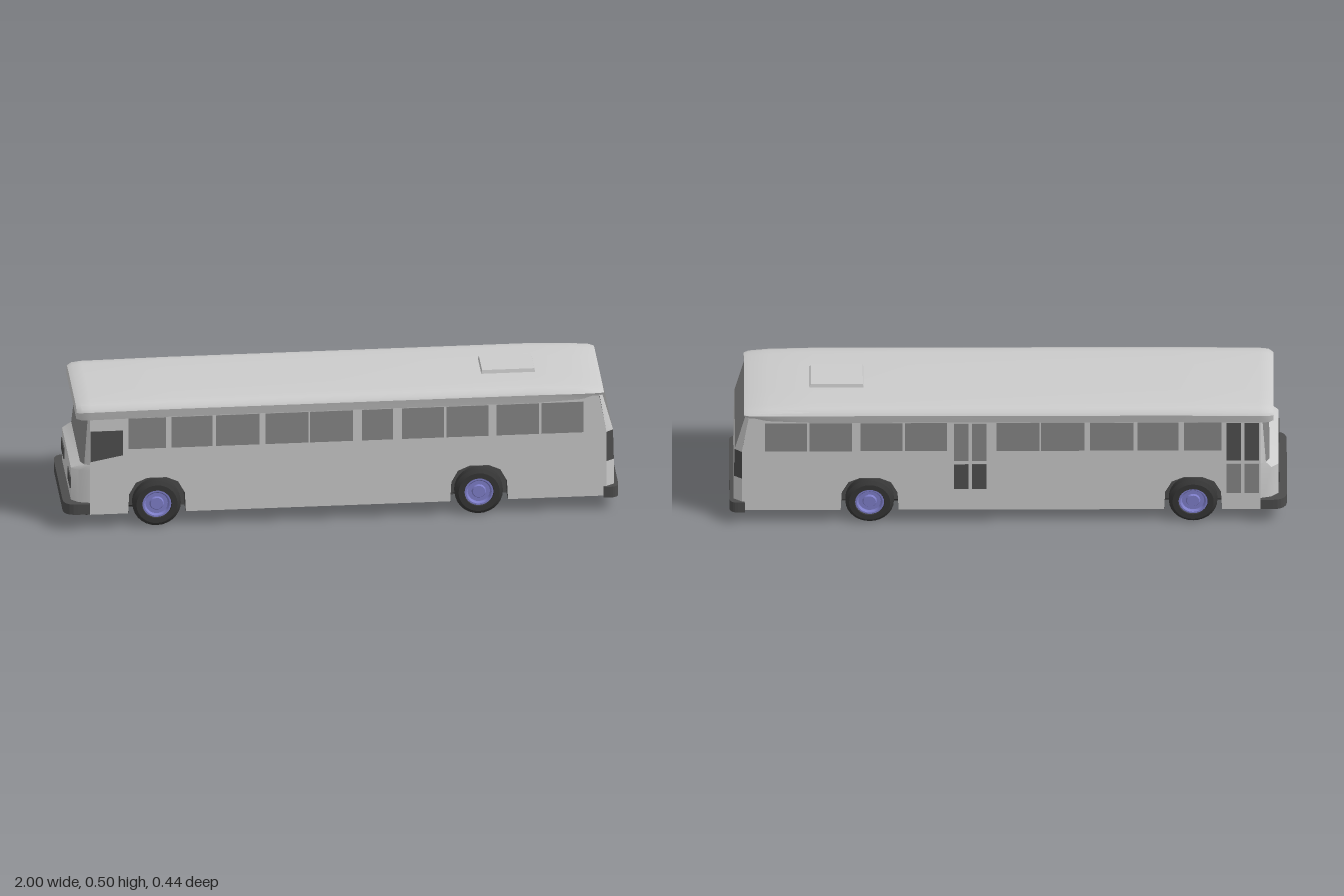
import * as THREE from 'three';
import { toCreasedNormals } from 'three/addons/utils/BufferGeometryUtils.js';

const mat = (color) => new THREE.MeshStandardMaterial({ color, side: THREE.DoubleSide });
const body = mat(0xcccccc), glass = mat(0x888888), darkGlass = mat(0x505050);
const dark = mat(0x4c4c4c), rubber = mat(0x363636), black = mat(0x262626), blue = mat(0x8080cc);

const SIDE = 0.21, WELL = 0.15, FLOOR = 0.055;
const AXLES = [-0.663, 0.497];
const ARCH = [[-0.104, FLOOR], [-0.1, 0.13], [-0.076, 0.174], [-0.035, 0.192],
  [0.035, 0.192], [0.076, 0.174], [0.1, 0.13], [0.104, FLOOR]];

export function createModel() {
  const bus = new THREE.Group();
  bus.name = 'bus';

  const add = (name, geometry, material, parent = bus) => {
    const mesh = new THREE.Mesh(geometry, material);
    mesh.name = name;
    parent.add(mesh);
    return mesh;
  };
  const box = (name, x0, x1, y0, y1, z0, z1, material) =>
    add(name, new THREE.BoxGeometry(x1 - x0, y1 - y0, z1 - z0), material)
      .position.set((x0 + x1) / 2, (y0 + y1) / 2, (z0 + z1) / 2);
  const shapeOf = (points) => new THREE.Shape(points.map(([x, y]) => new THREE.Vector2(x, y)));

  // Skin a surface over rows of [x, y, z] points
  const skin = (rows, crease = 0.6) => {
    const n = rows[0].length, index = [];
    for (let i = 0; i < rows.length - 1; i++) {
      for (let j = 0; j < n - 1; j++) {
        const a = i * n + j, b = a + n;
        index.push(a, b, a + 1, b, b + 1, a + 1);
      }
    }
    const g = new THREE.BufferGeometry();
    g.setAttribute('position', new THREE.Float32BufferAttribute(rows.flat(2), 3));
    g.setIndex(index);
    return toCreasedNormals(g, crease);
  };

  // Side walls with wheel arch cutouts, and the wells behind them
  const outline = [[-0.905, FLOOR]];
  for (const ax of AXLES) outline.push(...ARCH.map(([x, y]) => [ax + x, y]));
  outline.push([0.955, FLOOR], [0.955, 0.31], [0.93, 0.45], [-0.905, 0.44]);
  for (const s of [1, -1]) {
    add('sideWall', new THREE.ShapeGeometry(shapeOf(outline)), body).position.z = s * SIDE;
    for (const ax of AXLES) {
      const rim = (z) => ARCH.map(([x, y]) => [ax + x, y, s * z]);
      add('wheelWell', skin([rim(SIDE + 0.003), rim(WELL)]), dark);
      const back = add('wheelWellBack', new THREE.ShapeGeometry(shapeOf(ARCH)), dark);
      back.position.set(ax, 0, s * WELL);
    }
  }

  // Floor, left open under the wheel wells
  box('floor', -0.95, 0.97, FLOOR, FLOOR + 0.006, -WELL, WELL, black);
  for (const [x0, x1] of [[-0.92, AXLES[0] - 0.104], [AXLES[0] + 0.104, AXLES[1] - 0.104], [AXLES[1] + 0.104, 0.955]]) {
    box('floorEdge', x0, x1, FLOOR, FLOOR + 0.006, WELL, SIDE - 0.001, black);
    box('floorEdge', x0, x1, FLOOR, FLOOR + 0.006, 0.001 - SIDE, -WELL, black);
  }

  // Front: rounded lower nose, ledge and windshield
  const frontRow = (y, x) => [[-0.905, SIDE], [x + (-0.905 - x) * 0.4, 0.2], [x, 0.175],
    [x, -0.175], [x + (-0.905 - x) * 0.4, -0.2], [-0.905, -SIDE]].map(([px, z]) => [px, y, z]);
  add('nose', skin([frontRow(0.06, -0.97), frontRow(0.228, -0.97), frontRow(0.25, -0.937)]), body);
  const screen = [frontRow(0.25, -0.937), frontRow(0.44, -0.915)];
  add('windshield', skin(screen.map((r) => r.slice(1, 5))), glass);
  add('leftPillar', skin(screen.map((r) => r.slice(0, 2))), body);
  add('rightPillar', skin(screen.map((r) => r.slice(4))), body);
  for (const s of [1, -1]) {
    const z = s * 0.127;
    box('headlight', -0.974, -0.965, 0.148, 0.19, z - 0.048, z + 0.048, dark);
  }

  // Rear: chamfered corners, sloping window and corner lights
  const rearRow = (y, x, xs) => [[xs, y, SIDE], [x, y, 0.19], [x, y, -0.19], [xs, y, -SIDE]];
  const rear = [rearRow(FLOOR, 0.985, 0.955), rearRow(0.19, 0.984, 0.955), rearRow(0.305, 0.981, 0.955),
    rearRow(0.31, 0.98, 0.955), rearRow(0.455, 0.94, 0.93)];
  add('rearPanel', skin(rear.slice(0, 4).map((r) => r.slice(1, 3))), body);
  add('rearWindow', skin(rear.slice(3).map((r) => r.slice(1, 3))), glass);
  for (const k of [0, 2]) {
    for (let i = 0; i < 4; i++) {
      const light = i === 1;
      add(light ? 'tailLight' : 'rearCorner', skin([rear[i], rear[i + 1]].map((r) => r.slice(k, k + 2))),
        light ? dark : body);
    }
  }

  // Roof shell lofted along x: [x, width scale, bottom, top]
  const half = [[0.211, 0], [0.218, 0.58], [0.212, 0.76], [0.195, 0.92], [0.165, 0.98], [0.08, 1]];
  const section = [...half, ...half.map(([z, t]) => [-z, t]).reverse(), half[0]];
  const stations = [[-0.952, 0.93, 0.428, 0.428], [-0.952, 0.93, 0.428, 0.472], [-0.935, 0.985, 0.427, 0.48],
    [-0.9, 1, 0.427, 0.483], [-0.6, 1, 0.43, 0.486], [0.7, 1, 0.43, 0.487], [0.86, 1, 0.438, 0.479],
    [0.93, 0.98, 0.448, 0.47], [0.947, 0.94, 0.45, 0.465], [0.947, 0.94, 0.45, 0.45]];
  add('roof', skin(stations.map(([x, w, lo, hi]) =>
    section.map(([z, t]) => [x, lo + (hi - lo) * t, z * w]))), body);

  // Tapered roof hatch
  const hatch = new THREE.BoxGeometry(0.2, 0.025, 0.138);
  const p = hatch.attributes.position;
  for (let i = 0; i < p.count; i++) {
    if (p.getY(i) > 0) p.setXYZ(i, p.getX(i) * 0.94, p.getY(i), p.getZ(i) * 0.92);
  }
  hatch.computeVertexNormals();
  add('roofHatch', hatch, body).position.set(0.615, 0.4875, 0);

  // Side windows; a door replaces the short one on the right side
  const windows = [[-0.765, -0.63], [-0.61, -0.463], [-0.45, -0.294], [-0.273, -0.118], [-0.112, 0.043],
    [0.075, 0.187], [0.22, 0.37], [0.38, 0.53], [0.56, 0.712], [0.722, 0.872]];
  const pane = (name, x0, x1, y0, y1, s, m) =>
    box(name, x0, x1, y0, y1, s * SIDE - 0.0015, s * SIDE + 0.0015, m);
  windows.forEach(([x0, x1], i) => {
    pane('sideWindow', x0, x1, 0.308, 0.428, 1, glass);
    if (i !== 5) pane('sideWindow', x0, x1, 0.308, 0.428, -1, glass);
  });
  const driver = new THREE.ExtrudeGeometry(
    shapeOf([[-0.903, 0.262], [-0.786, 0.285], [-0.786, 0.382], [-0.903, 0.382]]),
    { depth: 0.003, bevelEnabled: false });
  add('driverWindow', driver, darkGlass).position.z = SIDE - 0.0015;

  // Two-leaf doors
  for (const [x0, low, upper, lower] of [[-0.9, 0.125, darkGlass, glass], [0.078, 0.145, glass, darkGlass]]) {
    for (const x of [x0, x0 + 0.065]) {
      pane('doorUpperGlass', x, x + 0.052, 0.265, 0.425, -1, upper);
      pane('doorLowerGlass', x, x + 0.052, low, 0.25, -1, lower);
    }
  }

  // Wraparound bumpers, drawn in plan with rounded outer corners
  const bumper = (name, inner, outer, w, r, y, h) => {
    const d = Math.sign(outer) * r, s = new THREE.Shape();
    s.moveTo(inner, -w);
    s.lineTo(outer - d, -w);
    s.quadraticCurveTo(outer, -w, outer, r - w);
    s.lineTo(outer, w - r);
    s.quadraticCurveTo(outer, w, outer - d, w);
    s.lineTo(inner, w);
    const g = new THREE.ExtrudeGeometry(s, { depth: h, bevelEnabled: false, curveSegments: 6 });
    add(name, g.rotateX(-Math.PI / 2), dark).position.y = y;
  };
  bumper('frontBumper', -0.905, -1, 0.222, 0.05, 0.062, 0.04);
  bumper('rearBumper', 0.945, 1, 0.218, 0.03, 0.05, 0.042);

  // Wheels
  const lathe = (pts) => toCreasedNormals(new THREE.LatheGeometry(
    pts.map(([r, y]) => new THREE.Vector2(r, y)), 28), 0.5);
  const tire = lathe([[0.04, -0.024], [0.074, -0.024], [0.087, -0.013], [0.087, 0.013], [0.074, 0.024],
    [0.054, 0.024], [0.051, 0.016]]);
  const hub = lathe([[0.052, 0.02], [0.046, 0.02], [0.04, 0.012], [0.026, 0.012], [0.022, 0.018], [0, 0.018]]);
  for (const ax of AXLES) {
    for (const s of [1, -1]) {
      const wheel = new THREE.Group();
      wheel.name = 'wheel';
      add('tire', tire, rubber, wheel);
      add('hub', hub, blue, wheel);
      wheel.rotation.x = s * Math.PI / 2;
      wheel.position.set(ax, 0.087, s * 0.187);
      bus.add(wheel);
    }
  }
  return bus;
}
